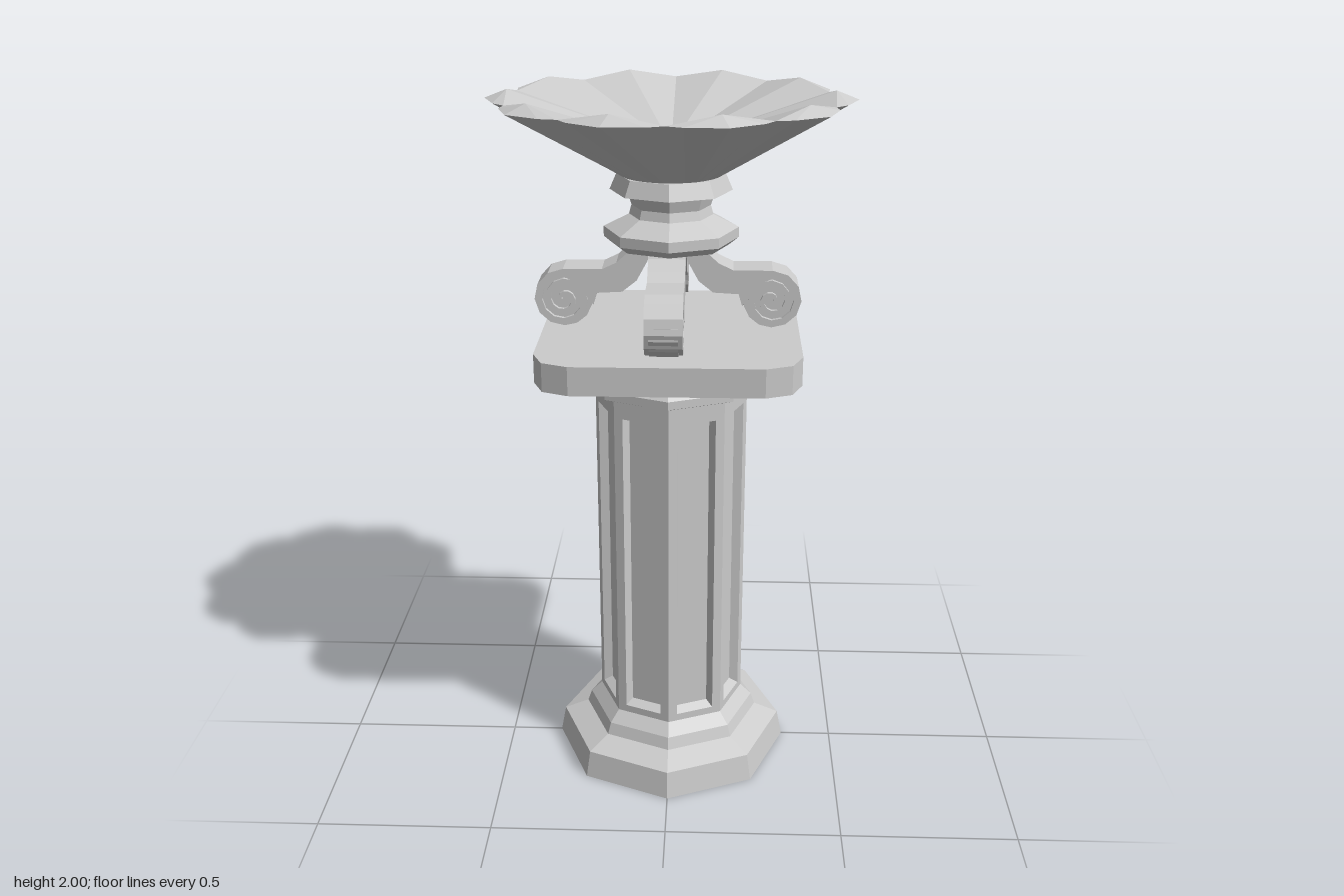
import * as THREE from 'three';

const mat = new THREE.MeshStandardMaterial({ color: 0xcccccc, flatShading: true });
const thinMat = new THREE.MeshStandardMaterial({ color: 0xcccccc, flatShading: true, side: THREE.DoubleSide });

function part(name, geometry, parent, material = mat) {
  const mesh = new THREE.Mesh(geometry, material);
  mesh.name = name;
  parent.add(mesh);
  return mesh;
}

// Octagonal turned piece with corners on the x and z axes
function octagon(points) {
  return new THREE.LatheGeometry(points.map(([r, y]) => new THREE.Vector2(r, y)), 8);
}

function fromTriangles(tris) {
  const geo = new THREE.BufferGeometry();
  geo.setAttribute('position', new THREE.Float32BufferAttribute(tris.flat(2), 3));
  geo.computeVertexNormals();
  return geo;
}

// Extrusion centred on its depth
function slab(points, depth) {
  const shape = new THREE.Shape(points.map(([x, y]) => new THREE.Vector2(x, y)));
  return new THREE.ExtrudeGeometry(shape, { depth, bevelEnabled: false }).translate(0, 0, -depth / 2);
}

// One column face: flat border, sloped reveal, sunken panel
function panelGeometry(width, y0, y1) {
  const rect = (w, b, t, z) => [[-w, b, z], [w, b, z], [w, t, z], [-w, t, z]];
  const rings = [
    rect(width / 2, y0, y1, 0),
    rect(width / 2 - 0.026, 0.2, 1.13, 0),
    rect(width / 2 - 0.036, 0.215, 1.12, -0.024),
  ];
  const tris = [];
  for (let k = 0; k < 2; k++) {
    for (let i = 0; i < 4; i++) {
      const j = (i + 1) % 4, o = rings[k], n = rings[k + 1];
      tris.push([o[i], o[j], n[j]], [o[i], n[j], n[i]]);
    }
  }
  const [a, b, c, d] = rings[2];
  tris.push([a, b, c], [a, c, d]);
  return fromTriangles(tris);
}

// Ten-petalled dish with a drooping lip
function bowlGeometry() {
  const polar = (deg, r, y) => {
    const a = THREE.MathUtils.degToRad(deg);
    return [r * Math.cos(a), y, r * Math.sin(a) * 0.965];
  };
  const profile = [[-18, 0.447], [-12.5, 0.47], [0, 0.495], [12.5, 0.47], [18, 0.447]];
  const centre = [0, 1.855, 0];
  const tris = [];
  for (let k = 0; k < 10; k++) {
    const rim = profile.map(([d, r]) => polar(k * 36 + d, r, 1.977));
    const foot = profile.map(([d]) => polar(k * 36 + d, 0.13, 1.775));
    const fold = polar(k * 36, 0.435, 2);
    tris.push([centre, fold, rim[0]], [centre, rim[4], fold]);
    for (let i = 0; i < 4; i++) {
      tris.push([fold, rim[i + 1], rim[i]]);
      tris.push([foot[i], rim[i], rim[i + 1]], [foot[i], rim[i + 1], foot[i + 1]]);
    }
  }
  return fromTriangles(tris);
}

// Spiral ribbon winding inward from the top of the scroll
function spiralPoints(cx, cy) {
  const outer = [], inner = [], steps = 27, turns = 2.25;
  for (let i = 0; i <= steps; i++) {
    const s = i / steps;
    const a = Math.PI / 2 - s * turns * Math.PI * 2;
    const r = 0.086 * (1 - 0.85 * Math.pow(s, 1.2));
    const w = 0.022 * (1 - 0.6 * s);
    outer.push([cx + r * Math.cos(a), cy + r * Math.sin(a)]);
    inner.push([cx + (r - w) * Math.cos(a), cy + (r - w) * Math.sin(a)]);
  }
  return outer.concat(inner.reverse());
}

function scrollBracket() {
  const g = new THREE.Group();
  g.name = 'scrollBracket';
  const cx = 0.287, cy = 1.44;
  part('bracketArm', slab([
    [0.287, 1.526], [0.18, 1.526], [0.14, 1.545], [0.11, 1.572], [0.085, 1.62],
    [0.035, 1.62], [0.055, 1.55], [0.085, 1.495], [0.125, 1.463], [0.195, 1.459],
    [0.205, 1.425], [0.225, 1.45], [0.245, 1.483], [0.287, 1.505],
  ], 0.1), g);
  part('scrollSpiral', slab(spiralPoints(cx, cy), 0.1), g);
  part('scrollCore', new THREE.CylinderGeometry(0.079, 0.079, 0.076, 14)
    .rotateX(Math.PI / 2).translate(cx, cy, 0), g);
  return g;
}

export function createModel() {
  const model = new THREE.Group();
  model.name = 'pedestalBowl';

  part('base', octagon([
    [0, 0], [0.349, 0], [0.334, 0.08], [0.262, 0.11], [0.25, 0.145], [0.217, 0.178], [0, 0.178],
  ]), model);

  // Column with a sunken panel on each of its eight faces
  const column = new THREE.Group();
  column.name = 'column';
  model.add(column);
  const R = 0.217, half = Math.PI / 8;
  const panel = panelGeometry(2 * R * Math.sin(half), 0.175, 1.19);
  for (let i = 0; i < 8; i++) {
    const a = (i + 0.5) * Math.PI / 4, d = R * Math.cos(half);
    const face = part('columnPanel', panel, column);
    face.position.set(d * Math.sin(a), 0, d * Math.cos(a));
    face.rotation.y = a;
  }

  part('capital', octagon([
    [0, 1.18], [0.22, 1.18], [0.25, 1.192], [0.25, 1.215], [0.238, 1.228],
    [0.217, 1.228], [0.217, 1.275], [0, 1.275],
  ]), model);

  // Square plate with softly cut corners
  const s = 0.357, c = 0.1, m = c * (1 - Math.SQRT1_2);
  const corner = [[s, s - c], [s - m, s - m], [s - c, s]];
  const outline = [];
  for (let q = 0; q < 4; q++) {
    for (const [x, y] of corner) {
      const a = q * Math.PI / 2;
      outline.push([x * Math.cos(a) - y * Math.sin(a), x * Math.sin(a) + y * Math.cos(a)]);
    }
  }
  part('plate', slab(outline, 0.08).rotateX(-Math.PI / 2).translate(0, 1.31, 0), model);

  // Four scroll brackets carrying the bowl
  const brackets = new THREE.Group();
  brackets.name = 'brackets';
  brackets.position.x = -0.008;
  for (let i = 0; i < 4; i++) {
    const b = scrollBracket();
    b.rotation.y = i * Math.PI / 2;
    brackets.add(b);
  }
  model.add(brackets);

  part('bowlStem', octagon([
    [0, 1.587], [0.16, 1.587], [0.185, 1.607], [0.185, 1.635], [0.115, 1.67], [0.108, 1.695],
    [0.12, 1.732], [0.167, 1.737], [0.148, 1.78], [0, 1.78],
  ]), model);

  part('bowl', bowlGeometry(), model, thinMat);

  return model;
}
